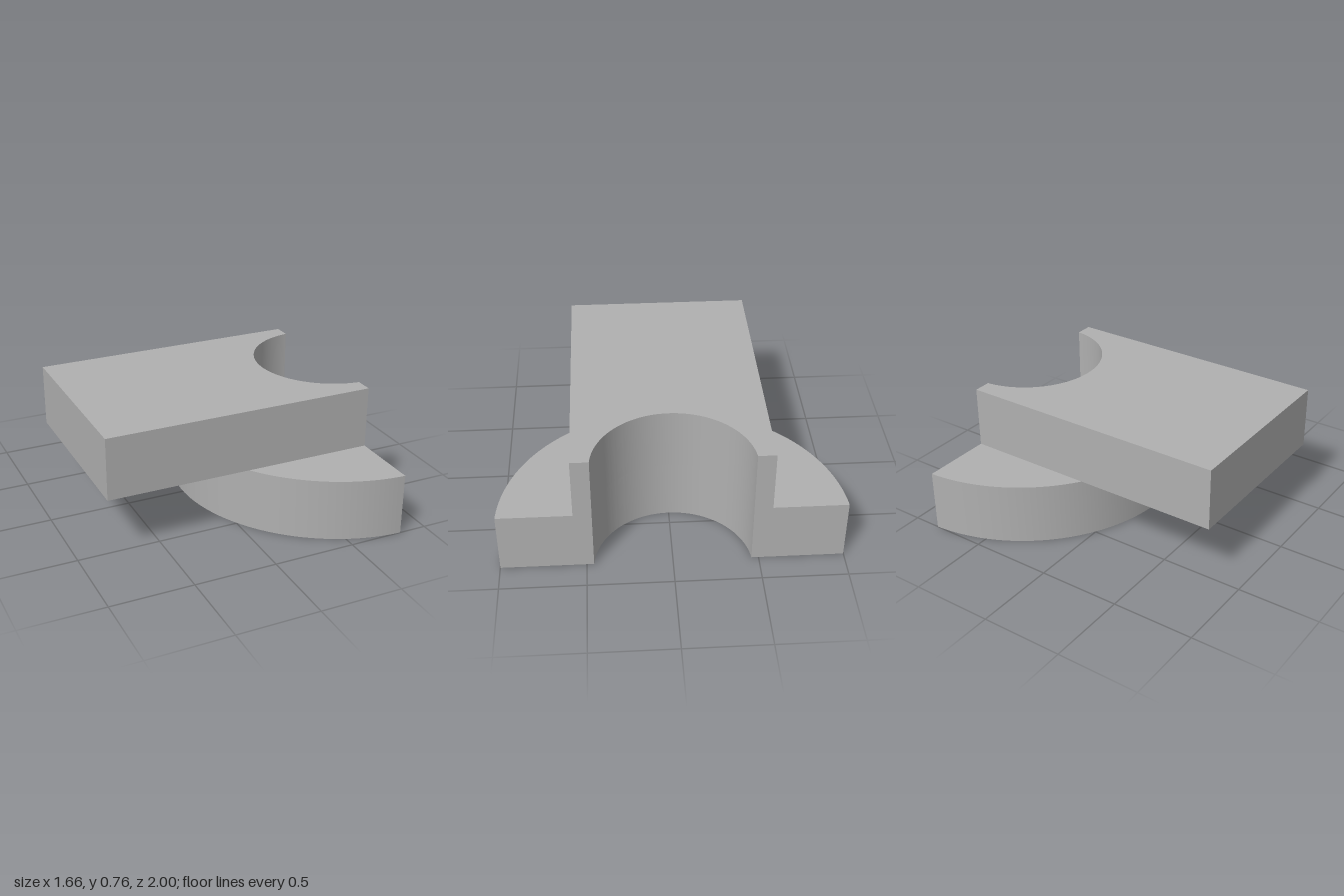
import * as THREE from 'three';
import { toCreasedNormals } from 'three/addons/utils/BufferGeometryUtils.js';

const RIGHT = 0.83;      // flat end shared by both layers
const CENTRE = 0.87;     // x of the common arc centre
const OUTER = 1, BORE = 0.46;
const LAYER = 0.378;     // thickness of each layer
const SLAB_HALF = 0.565;

// angle at which an arc of radius r meets the flat end
const endAngle = (r) => Math.acos((RIGHT - CENTRE) / r);

// trace the bore from the lower corner to the upper one, then close
function addBore(shape) {
  const a = endAngle(BORE);
  shape.lineTo(RIGHT, -BORE * Math.sin(a));
  shape.absarc(CENTRE, 0, BORE, 2 * Math.PI - a, a, true);
  shape.closePath();
}

// extrude a plan outline upwards from the given height
function layer(name, shape, y, material) {
  const geometry = new THREE.ExtrudeGeometry(shape, { depth: LAYER, bevelEnabled: false, curveSegments: 64 });
  geometry.rotateX(-Math.PI / 2);
  geometry.translate(0, y, 0);
  const mesh = new THREE.Mesh(toCreasedNormals(geometry, 0.5), material);
  mesh.name = name;
  return mesh;
}

export function createModel() {
  const grey = new THREE.MeshStandardMaterial({ color: 0xb0b0b0 });
  grey.name = 'grey';
  const model = new THREE.Group();
  model.name = 'bracket';

  // half-ring base
  const base = new THREE.Shape();
  const a = endAngle(OUTER);
  base.moveTo(RIGHT, OUTER * Math.sin(a));
  base.absarc(CENTRE, 0, OUTER, a, 2 * Math.PI - a, false);
  addBore(base);

  // rectangular slab with the same bore cut from its end
  const slab = new THREE.Shape();
  slab.moveTo(RIGHT, SLAB_HALF);
  slab.lineTo(-RIGHT, SLAB_HALF);
  slab.lineTo(-RIGHT, -SLAB_HALF);
  slab.lineTo(RIGHT, -SLAB_HALF);
  addBore(slab);

  model.add(layer('halfRingBase', base, 0, grey), layer('topSlab', slab, LAYER, grey));
  return model;
}
